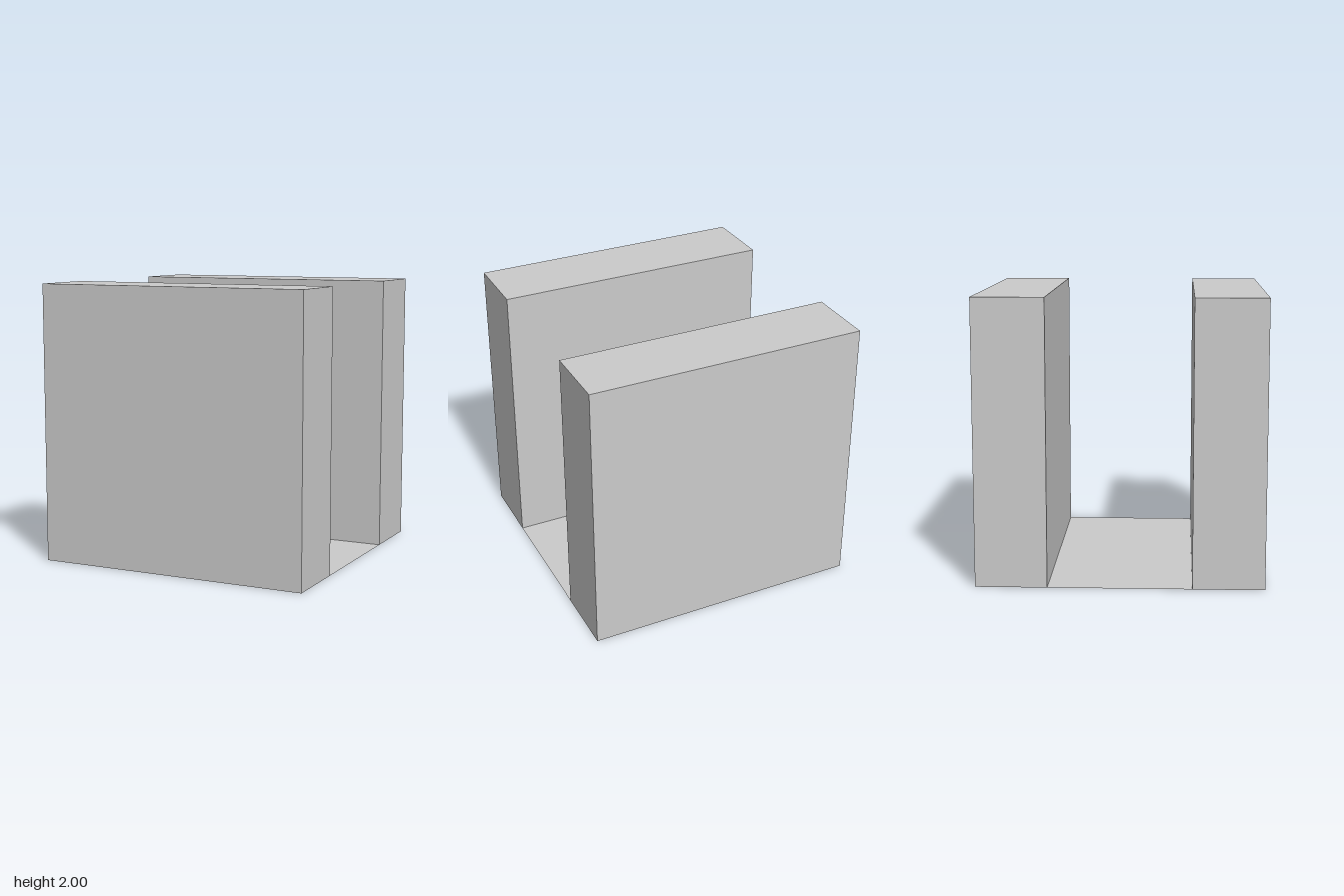
import * as THREE from 'three';

export function createModel() {
  const group = new THREE.Group();
  const material = new THREE.MeshStandardMaterial({ color: 0xcccccc, flatShading: true });

  // Two upright slabs, front and back
  const slab = new THREE.BoxGeometry(2, 2, 0.5);
  for (const side of [1, -1]) {
    const wall = new THREE.Mesh(slab, material);
    wall.name = side > 0 ? 'frontWall' : 'backWall';
    wall.position.set(0, 1, side * 0.75);
    group.add(wall);
  }

  // Paper-thin floor joining the slabs, seen from above and below
  const floorMaterial = material.clone();
  floorMaterial.side = THREE.DoubleSide;
  const floor = new THREE.Mesh(new THREE.PlaneGeometry(2, 1).rotateX(-Math.PI / 2), floorMaterial);
  floor.name = 'floor';
  group.add(floor);

  return group;
}
